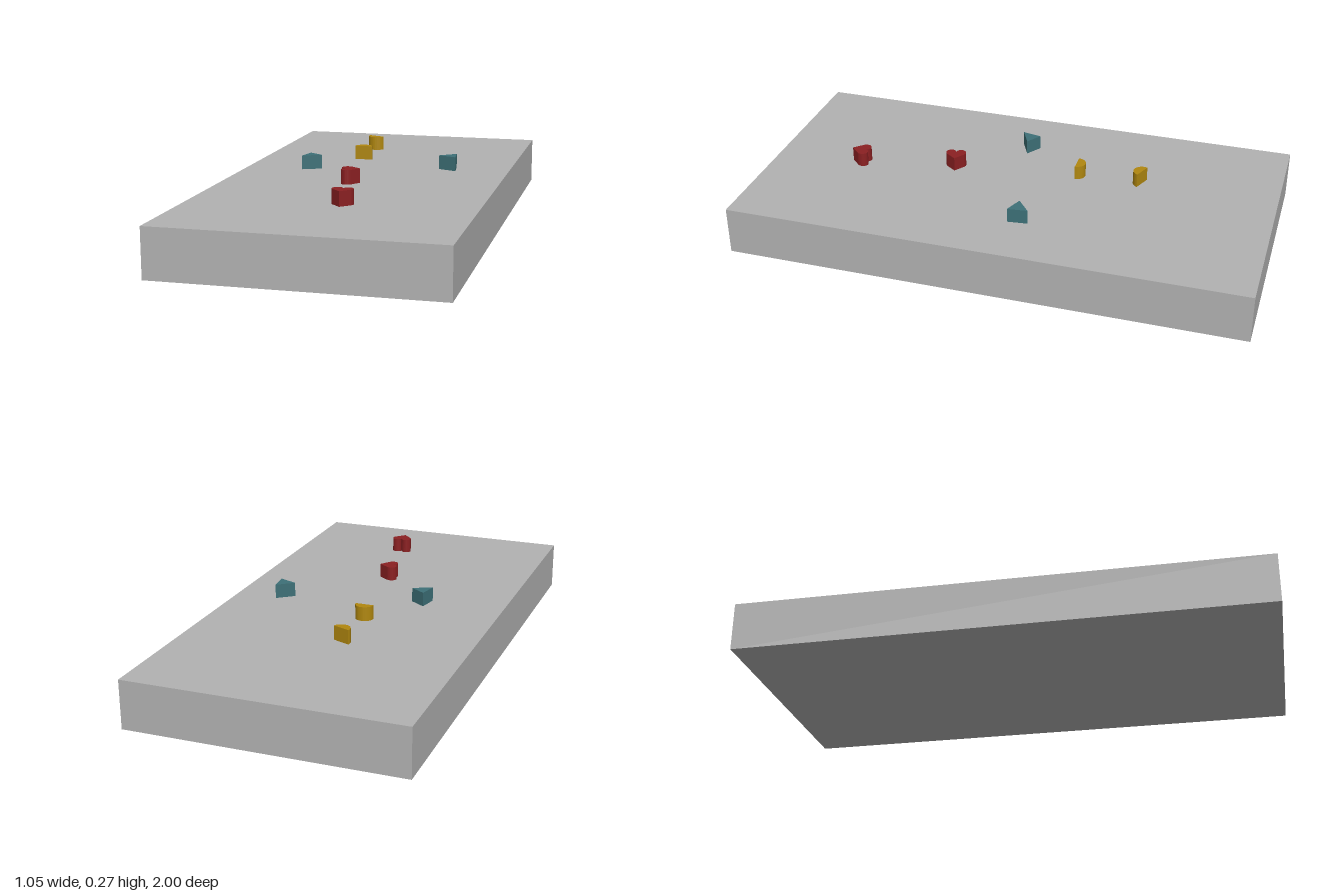
import * as THREE from 'three';

const BLOCK_TOP = 0.266;
const BLOCK_HEIGHT = 0.055;

function material(name, color) {
  const m = new THREE.MeshStandardMaterial({ color });
  m.name = name;
  return m;
}

// Heart with its point toward +y of the shape (becomes +z)
function heartShape() {
  const s = new THREE.Shape();
  s.moveTo(0, 0.037);
  s.lineTo(-0.034, 0.003);
  s.bezierCurveTo(-0.047, -0.014, -0.034, -0.033, -0.02, -0.033);
  s.bezierCurveTo(-0.009, -0.033, -0.002, -0.026, 0, -0.016);
  s.bezierCurveTo(0.002, -0.026, 0.009, -0.033, 0.02, -0.033);
  s.bezierCurveTo(0.034, -0.033, 0.047, -0.014, 0.034, 0.003);
  s.closePath();
  return s;
}

// Half disc bulging toward +y of the shape (becomes +z)
function halfDiscShape() {
  const s = new THREE.Shape();
  s.absarc(0, 0, 0.035, 0, Math.PI, false);
  s.closePath();
  return s;
}

function triangleShape(points) {
  return new THREE.Shape(points.map(([x, z]) => new THREE.Vector2(x, z)));
}

export function createModel() {
  const model = new THREE.Group();
  model.name = 'shapeBoard';

  const grey = material('grey', 0xb2b2b2);
  const red = material('red', 0x8b2022);
  const teal = material('teal', 0x3d7077);
  const gold = material('gold', 0xb0870f);

  // Slab
  const base = new THREE.Mesh(new THREE.BoxGeometry(1.052, 0.186, 2), grey);
  base.name = 'base';
  base.position.y = 0.093;
  model.add(base);

  // Prism lying flat, hovering just above the slab
  function addBlock(name, shape, mat, x, z, degrees) {
    const geometry = new THREE.ExtrudeGeometry(shape, {
      depth: BLOCK_HEIGHT, bevelEnabled: false, curveSegments: 8,
    });
    geometry.rotateX(Math.PI / 2);
    const mesh = new THREE.Mesh(geometry, mat);
    mesh.name = name;
    mesh.position.set(x, BLOCK_TOP, z);
    mesh.rotation.y = THREE.MathUtils.degToRad(degrees);
    model.add(mesh);
  }

  // Hearts
  addBlock('frontHeart', heartShape(), red, 0.066, 0.632, 0);
  addBlock('middleHeart', heartShape(), red, -0.003, 0.26, 100);

  // Triangles
  addBlock('rightTriangle', triangleShape([[-0.03, 0.037], [-0.014, -0.037], [0.043, 0.002]]),
    teal, -0.226, 0.016, 0);
  addBlock('leftTriangle', triangleShape([[-0.044, 0.007], [0.018, -0.042], [0.026, 0.035]]),
    teal, 0.312, -0.092, 0);

  // Half discs
  addBlock('middleHalfDisc', halfDiscShape(), gold, -0.073, -0.217, 180);
  addBlock('backHalfDisc', halfDiscShape(), gold, -0.08, -0.476, -22);

  return model;
}
